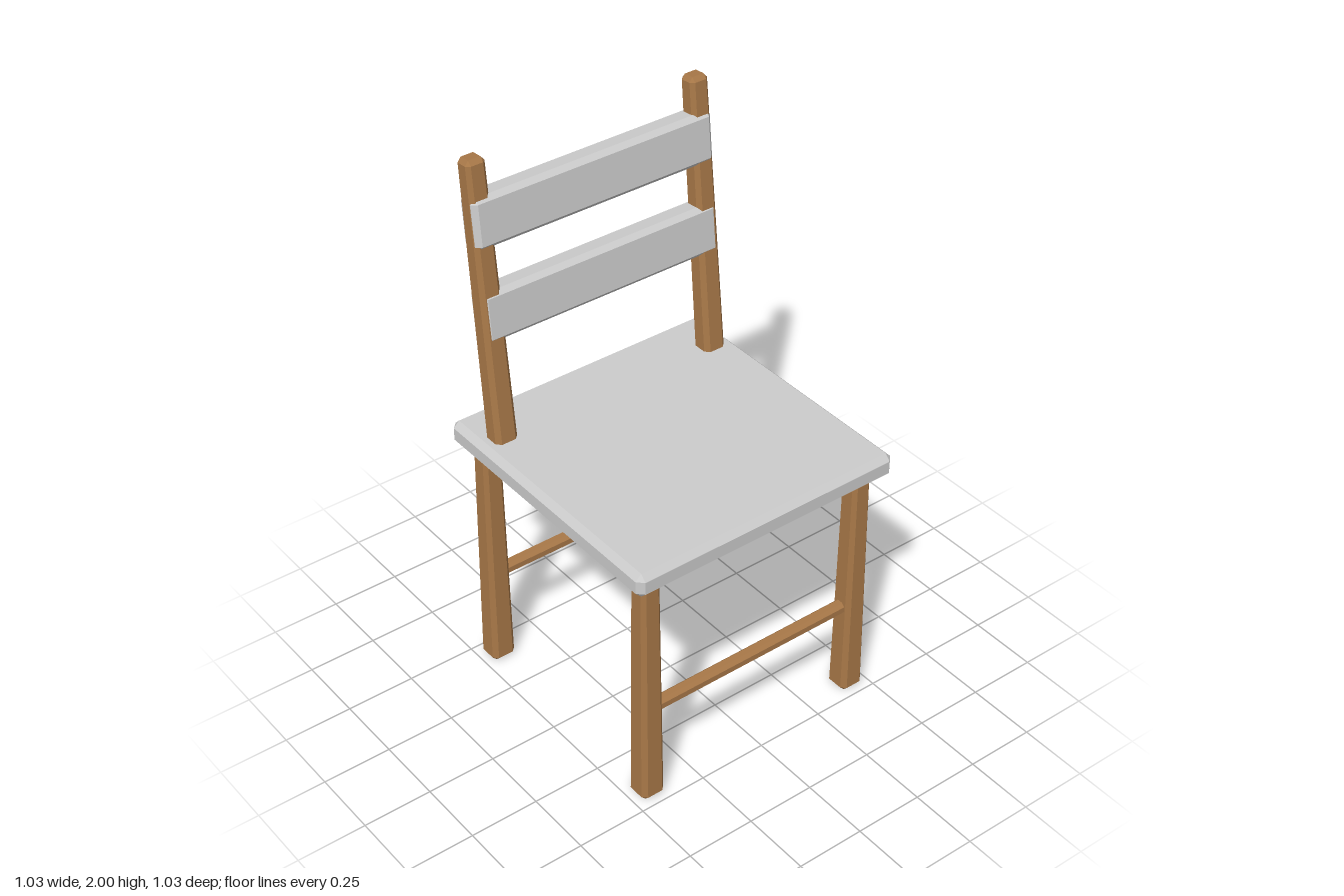
import * as THREE from 'three';
import { ConvexGeometry } from 'three/addons/geometries/ConvexGeometry.js';

const grey = new THREE.MeshStandardMaterial({ color: 0xcccccc, flatShading: true });
const wood = new THREE.MeshStandardMaterial({ color: 0xa87848, flatShading: true });

// Box with chamfered edges; its cross-section tapers from 1 at the bottom to `taper` at the top
function chamferBox(w, h, d, c, taper = 1) {
  const half = [w / 2, h / 2, d / 2];
  const points = [];
  for (const sx of [-1, 1]) for (const sy of [-1, 1]) for (const sz of [-1, 1]) {
    for (let axis = 0; axis < 3; axis++) {
      // each corner becomes three points, one lying on each face
      const [x, y, z] = half.map((v, i) => (i === axis ? v : v - c));
      const k = sy > 0 ? taper : 1;
      points.push(new THREE.Vector3(sx * x * k, sy * y, sz * z * k));
    }
  }
  return new ConvexGeometry(points);
}

function addPart(parent, name, geometry, material, x, y, z) {
  const mesh = new THREE.Mesh(geometry, material);
  mesh.name = name;
  mesh.position.set(x, y, z);
  parent.add(mesh);
  return mesh;
}

export function createModel() {
  const chair = new THREE.Group();
  chair.name = 'chair';

  // Seat board
  addPart(chair, 'seat', chamferBox(1.03, 0.09, 1.03, 0.022), grey, 0, 0.955, 0);

  // Tapered legs, with one stretcher across the front pair and one across the back pair
  const legGeometry = chamferBox(0.09, 0.93, 0.09, 0.016, 0.8);
  const stretcherGeometry = chamferBox(0.82, 0.045, 0.045, 0.012);
  for (const [end, z] of [['front', 0.43], ['back', -0.43]]) {
    for (const [side, x] of [['Left', 0.43], ['Right', -0.43]]) {
      addPart(chair, `${end}${side}Leg`, legGeometry, wood, x, 0.465, z);
    }
    addPart(chair, `${end}Stretcher`, stretcherGeometry, wood, 0, 0.363, z);
  }

  // Backrest leans backwards; its local y runs along the posts
  const backrest = new THREE.Group();
  backrest.name = 'backrest';
  backrest.position.set(0, 1.441, -0.378);
  backrest.rotation.x = -0.095;
  chair.add(backrest);

  const postGeometry = chamferBox(0.086, 1.12, 0.08, 0.016, 0.83);
  for (const [side, x] of [['left', 0.43], ['right', -0.43]]) {
    addPart(backrest, `${side}Post`, postGeometry, wood, x, 0, 0);
  }

  const slatGeometry = chamferBox(0.93, 0.18, 0.086, 0.017);
  addPart(backrest, 'lowerSlat', slatGeometry, grey, 0, 0.012, -0.004);
  addPart(backrest, 'upperSlat', slatGeometry, grey, 0, 0.343, -0.001);

  return chair;
}
